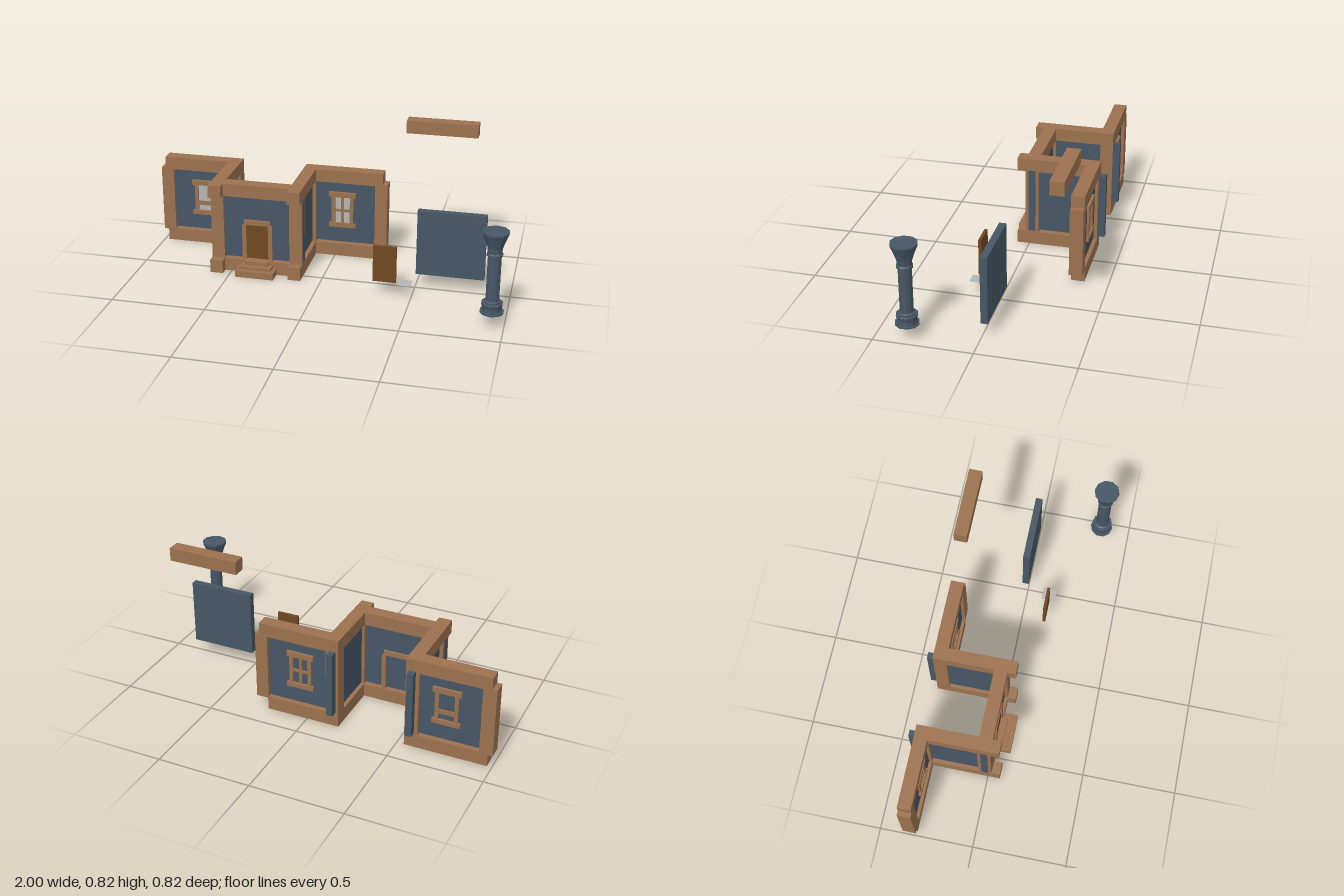
import * as THREE from 'three';

const material = (name, color, extra = {}) => {
  const m = new THREE.MeshStandardMaterial({ color, ...extra });
  m.name = name;
  return m;
};

export function createModel() {
  const root = new THREE.Group();
  root.name = 'buildingKit';
  const wood = material('wood', 0x9c7250);
  const slate = material('slate', 0x465766);
  const doorWood = material('doorWood', 0x6f481f);
  const glass = material('glass', 0xb5b5b5, { side: THREE.DoubleSide });

  const add = (name, geometry, mat, parent = root) => {
    const mesh = new THREE.Mesh(geometry, mat);
    mesh.name = name;
    parent.add(mesh);
    return mesh;
  };
  // box given by its minimum and maximum on each axis
  const box = (name, mat, x0, x1, y0, y1, z0, z1, parent = root) => {
    const mesh = add(name, new THREE.BoxGeometry(x1 - x0, y1 - y0, z1 - z0), mat, parent);
    mesh.position.set((x0 + x1) / 2, (y0 + y1) / 2, (z0 + z1) / 2);
    return mesh;
  };

  const BACK = [-0.373, -0.303];
  const FRONT = [-0.05, 0.02];
  const LEVELS = [['sill', 0, 0.072], ['top', 0.432, 0.503]];
  const SIDES = [[-0.608, -0.538], [-0.177, -0.108]];

  // sill and top beams around the stepped plan
  for (const [level, y0, y1] of LEVELS) {
    box(level + 'BeamBackRight', wood, -0.975, -0.608, y0, y1, ...BACK);
    box(level + 'BeamBackLeft', wood, -0.108, level === 'top' ? 0.265 : 0.225, y0, y1, ...BACK);
    box(level + 'BeamFront', wood, -0.538, -0.177, y0, y1, ...FRONT);
    for (const [x0, x1] of SIDES) box(level + 'BeamSide', wood, x0, x1, y0, y1, -0.373, 0.065);
  }

  // posts at the outer ends and at the corners of the bay
  for (const [x0, x1] of [[-1, -0.93], [0.222, 0.29]]) box('endPost', wood, x0, x1, 0.065, 0.44, ...BACK);
  for (const [x0, x1] of SIDES) {
    box('backCornerPost', wood, x0, x1, 0.07, 0.434, ...BACK);
    box('frontCornerPost', wood, x0, x1, 0.07, 0.434, ...FRONT);
  }

  // wall panels
  const P = [0.08, 0.437];
  box('wallPanelBackRight', slate, -0.96, -0.6, ...P, -0.355, -0.32);
  box('wallPanelBackLeft', slate, -0.12, 0.24, ...P, -0.355, -0.32);
  box('wallPanelFront', slate, -0.61, -0.105, ...P, -0.033, 0.003);
  for (const x of [-0.572, -0.144]) box('wallPanelSide', slate, x - 0.017, x + 0.017, ...P, -0.41, -0.05);

  // windows: frame seen from both sides, pane on the front
  const makeWindow = (name, x, bars) => {
    const g = new THREE.Group();
    g.name = name;
    g.position.set(x, 0, -0.3375);
    root.add(g);
    box('lintel', wood, -0.074, 0.074, 0.347, 0.375, -0.032, 0.032, g);
    box('windowSill', wood, -0.074, 0.074, 0.17, 0.195, -0.032, 0.032, g);
    for (const s of [-0.051, 0.051]) box('jamb', wood, s - 0.01, s + 0.01, 0.19, 0.35, -0.028, 0.028, g);
    for (const [x0, x1, y0, y1] of bars) box('glazingBar', wood, x0, x1, y0, y1, -0.024, 0.024, g);
    box('pane', glass, -0.042, 0.042, 0.193, 0.349, 0.017, 0.02, g);
  };
  makeWindow('sashWindow', -0.75, [[-0.042, 0.042, 0.225, 0.25]]);
  makeWindow('crossWindow', 0.04, [[-0.042, 0.042, 0.26, 0.275], [-0.008, 0.008, 0.193, 0.349]]);

  // door with a clipped-corner surround
  const surround = new THREE.Shape([
    [-0.083, 0.07], [-0.06, 0.07], [-0.06, 0.275], [0.06, 0.275], [0.06, 0.07], [0.083, 0.07],
    [0.083, 0.272], [0.072, 0.28], [0.072, 0.302], [-0.072, 0.302], [-0.072, 0.28], [-0.083, 0.272],
  ].map(([x, y]) => new THREE.Vector2(x, y)));
  add('doorSurround', new THREE.ExtrudeGeometry(surround, { depth: 0.06, bevelEnabled: false }), wood)
    .position.set(-0.356, 0, -0.045);
  box('door', doorWood, -0.417, -0.295, 0.08, 0.277, -0.008, 0.008);

  // entrance steps
  for (const [half, y0, y1, z] of [[0.105, 0, 0.037, 0.093], [0.086, 0.037, 0.053, 0.071], [0.063, 0.053, 0.076, 0.045]])
    box('step', wood, -0.356 - half, -0.356 + half, y0, y1, 0.01, z);

  // loose kit pieces
  box('looseBeam', wood, 0.385, 0.765, 0.748, 0.818, ...BACK);
  box('loosePanel', slate, 0.503, 0.861, ...P, -0.033, 0.003);
  box('looseDoor', doorWood, 0.298, 0.42, 0.08, 0.279, 0.12, 0.136);
  const pane = add('loosePane', new THREE.PlaneGeometry(0.07, 0.073), glass);
  pane.rotation.x = -Math.PI / 2;
  pane.position.set(0.465, 0.081, 0.127);

  // ten-sided column, faceted
  const profile = [
    [0, 0.078], [0.061, 0.078], [0.061, 0.086], [0.052, 0.086], [0.05, 0.105], [0.055, 0.131], [0.053, 0.134],
    [0.043, 0.134], [0.043, 0.142], [0.0345, 0.147], [0.0345, 0.382], [0.041, 0.385], [0.041, 0.395],
    [0.036, 0.4], [0.039, 0.428], [0.048, 0.455], [0.06, 0.487], [0.0675, 0.503], [0.0675, 0.512], [0, 0.512],
  ].map(([r, y]) => new THREE.Vector2(r, y));
  const columnGeometry = new THREE.LatheGeometry(profile, 10).toNonIndexed();
  columnGeometry.computeVertexNormals();
  add('column', columnGeometry, slate).position.set(0.9355, 0, 0.342);

  return root;
}
